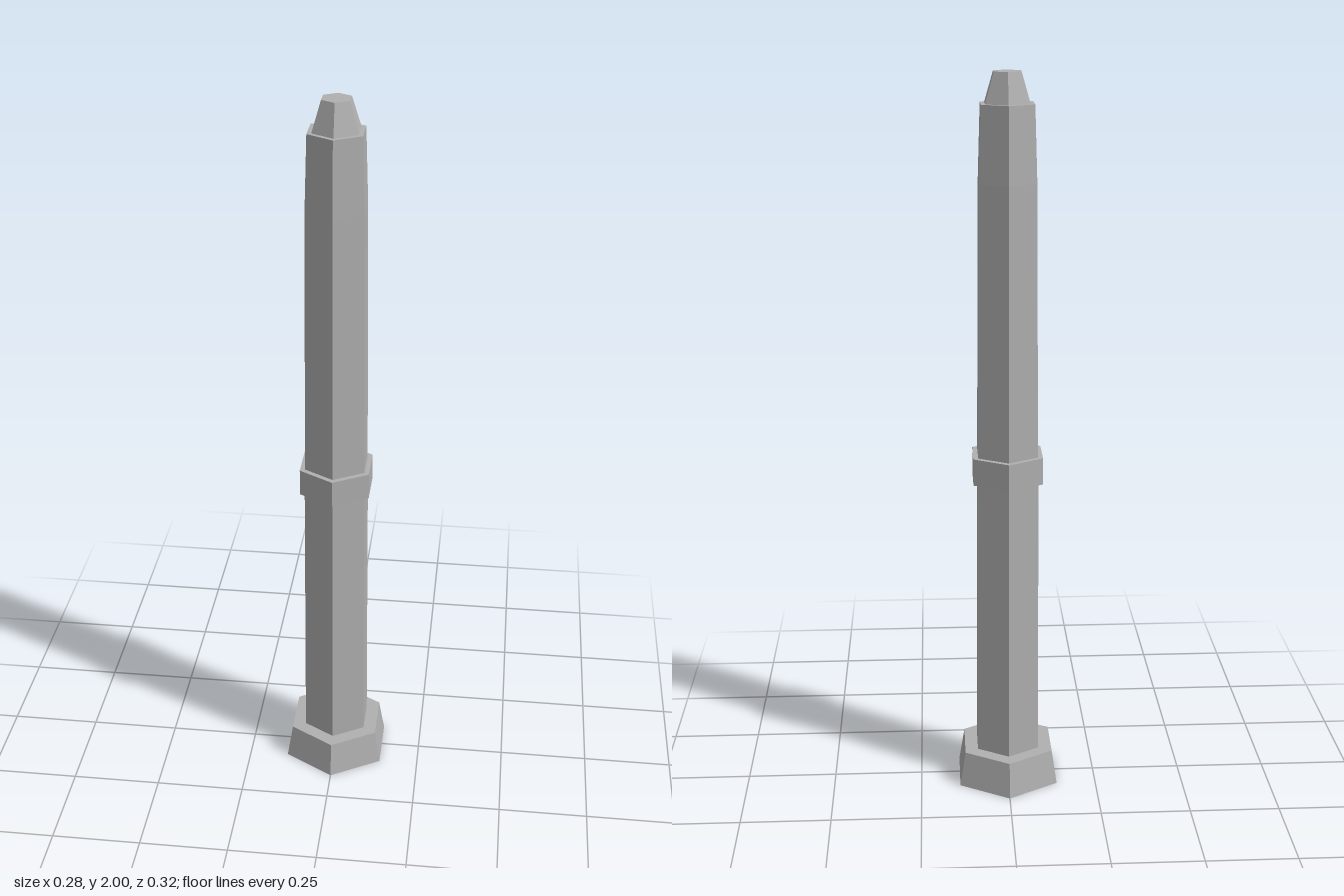
import * as THREE from 'three';

export function createModel() {
  const group = new THREE.Group();
  const stone = new THREE.MeshStandardMaterial({ color: 0xb0b0b0, flatShading: true });
  stone.name = 'grey stone';

  // Tapered hexagonal prism, corners pointing to front and back
  const hexPart = (name, y0, y1, r0, r1, open = false) => {
    const geometry = new THREE.CylinderGeometry(r1, r0, y1 - y0, 6, 1, open);
    const mesh = new THREE.Mesh(geometry, stone);
    mesh.name = name;
    mesh.position.y = (y0 + y1) / 2;
    group.add(mesh);
  };

  hexPart('base', 0, 0.1, 0.16, 0.142);
  hexPart('lowerShaft', 0.1, 0.94, 0.1, 0.095, true);
  hexPart('collar', 0.905, 0.98, 0.109, 0.109);
  // Upper shaft narrows faster near its top
  hexPart('middleShaft', 0.94, 1.72, 0.094, 0.087, true);
  hexPart('upperShaft', 1.72, 1.92, 0.087, 0.08);
  hexPart('cap', 1.92, 2, 0.067, 0.041);

  return group;
}
